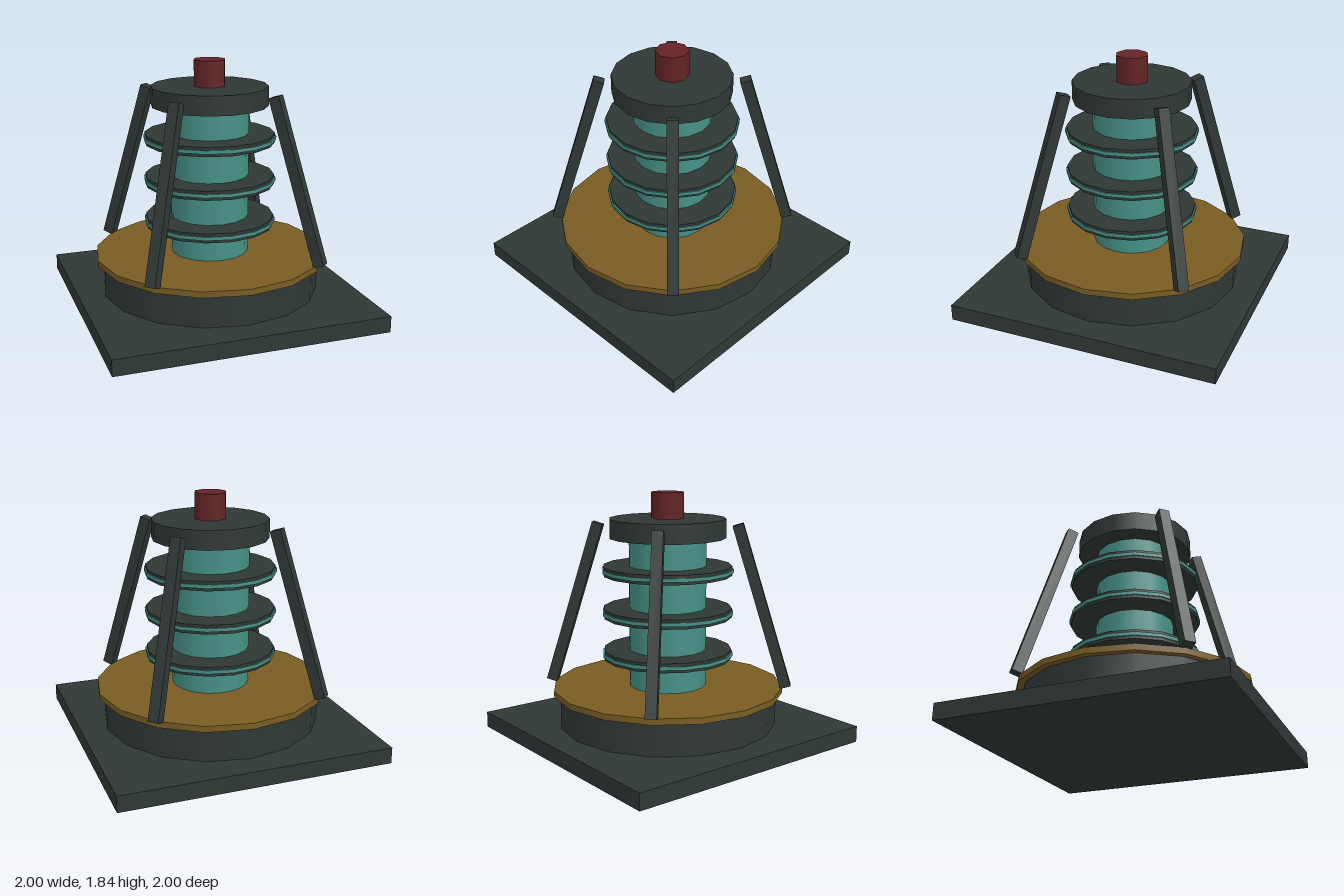
import * as THREE from 'three';

export function createModel() {
  const model = new THREE.Group();
  model.name = 'coilTower';

  const material = (name, color) => {
    const m = new THREE.MeshStandardMaterial({ color });
    m.name = name;
    return m;
  };
  const iron = material('dark iron', 0x2f3836);
  const teal = material('teal', 0x469186);
  const brass = material('brass', 0x795c23);
  const red = material('dark red', 0x642325);

  const add = (name, geometry, mat, y = 0, parent = model) => {
    const mesh = new THREE.Mesh(geometry, mat);
    mesh.name = name;
    mesh.position.y = y;
    parent.add(mesh);
    return mesh;
  };
  // Upright disc or drum between two heights
  const drum = (name, radius, y0, y1, mat, sides = 16) =>
    add(name, new THREE.CylinderGeometry(radius, radius, y1 - y0, sides), mat, (y0 + y1) / 2);

  // Base
  add('basePlate', new THREE.BoxGeometry(2, 0.12, 2), iron, 0.06);
  drum('baseDrum', 0.81, 0.12, 0.36, iron);
  drum('brassDeck', 0.857, 0.36, 0.405, brass);

  // Core, cap and top knob
  drum('core', 0.286, 0.4, 1.51, teal);
  drum('cap', 0.428, 1.505, 1.645, iron);
  drum('topKnob', 0.119, 1.64, 1.835, red, 8);

  // Coil rings, each with a thin band round its rim
  for (const y of [0.645, 0.956, 1.267]) {
    drum('coilRing', 0.476, y - 0.034, y + 0.034, iron);
    drum('coilBand', 0.486, y - 0.013, y + 0.013, teal);
  }

  // Four leaning struts on the diagonals
  const bottom = new THREE.Vector2(0.88, 0.41);
  const top = new THREE.Vector2(0.512, 1.605);
  const span = top.clone().sub(bottom);
  for (let i = 0; i < 4; i++) {
    const strut = new THREE.Group();
    strut.name = 'strut';
    strut.rotation.y = Math.PI / 4 + i * Math.PI / 2;
    const beam = add('strutBeam', new THREE.BoxGeometry(0.08, span.length(), 0.08), iron, 0, strut);
    beam.position.set((bottom.x + top.x) / 2, (bottom.y + top.y) / 2, 0);
    beam.rotation.z = Math.atan2(-span.x, span.y);
    model.add(strut);
  }
  return model;
}
